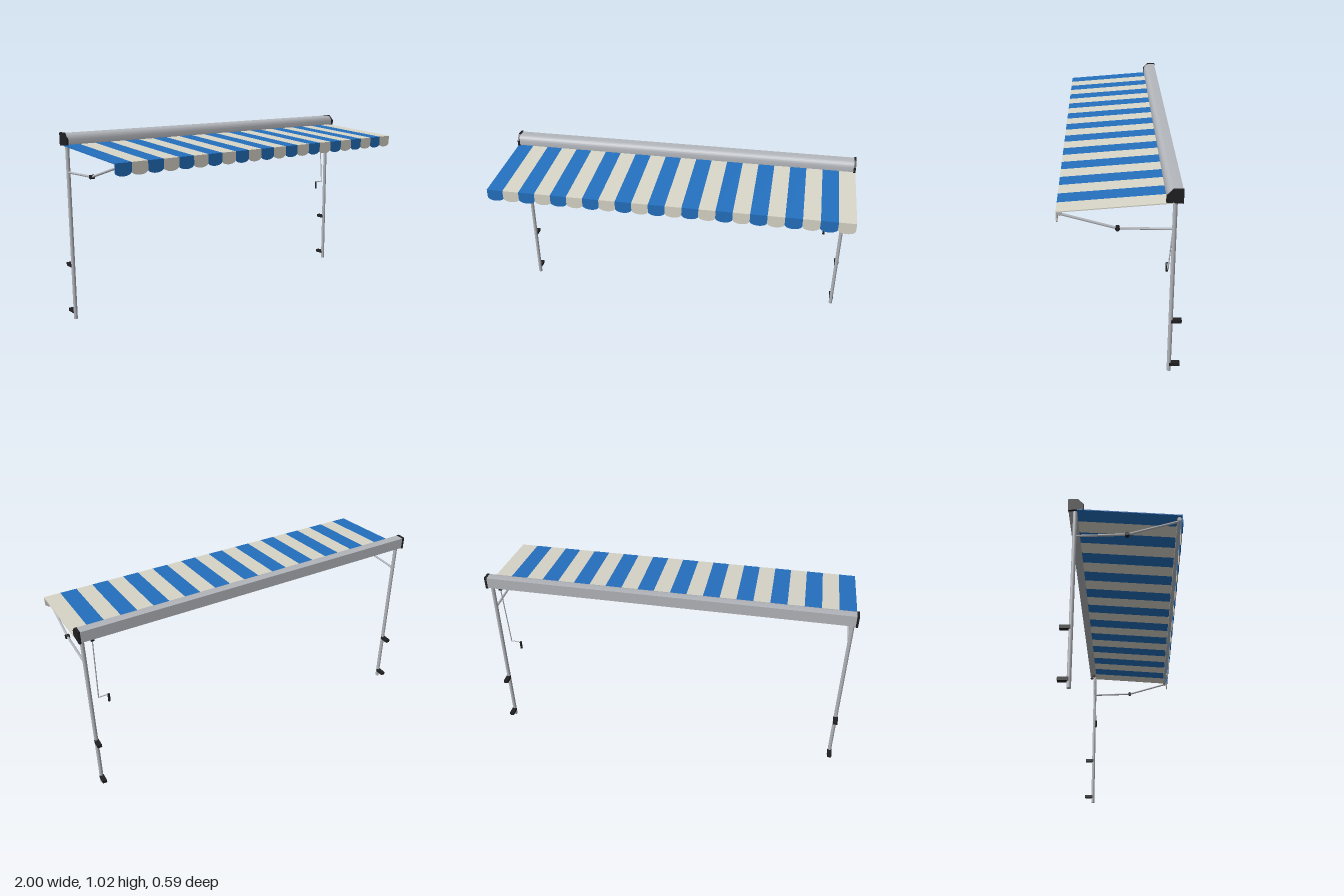
import * as THREE from 'three';
import { toCreasedNormals } from 'three/addons/utils/BufferGeometryUtils.js';

const material = (name, color) => {
  const m = new THREE.MeshStandardMaterial({ color });
  m.name = name;
  return m;
};

export function createModel() {
  const blue = material('blue fabric', 0x2470be);
  const cream = material('cream fabric', 0xd8d5c8);
  const metal = material('grey metal', 0xb2b5ba);
  const black = material('black plastic', 0x202022);
  const model = new THREE.Group();
  model.name = 'awning';

  const add = (name, geometry, mat, x = 0, y = 0, z = 0) => {
    const mesh = new THREE.Mesh(geometry, mat);
    mesh.name = name;
    mesh.position.set(x, y, z);
    model.add(mesh);
    return mesh;
  };
  const rod = (name, a, b, radius, mat, sides = 16) => {
    const from = new THREE.Vector3(...a), to = new THREE.Vector3(...b);
    const dir = to.clone().sub(from);
    const mesh = add(name, new THREE.CylinderGeometry(radius, radius, dir.length(), sides), mat);
    mesh.position.copy(from).lerp(to, 0.5);
    mesh.quaternion.setFromUnitVectors(new THREE.Vector3(0, 1, 0), dir.normalize());
    return mesh;
  };
  // Extrudes a (z, y) profile along x, centred on x = 0
  const extrudeAcross = (shape, width) => {
    const g = new THREE.ExtrudeGeometry(shape, { depth: width, bevelEnabled: false, curveSegments: 12 });
    g.translate(0, 0, -width / 2).rotateY(-Math.PI / 2);
    return toCreasedNormals(g, 0.5);
  };
  const polygon = (points) => new THREE.Shape(points.map((p) => new THREE.Vector2(...p)));

  // Cassette with a rounded upper front edge
  const body = new THREE.Shape();
  body.moveTo(-0.273, 0.957);
  body.lineTo(-0.202, 0.962);
  body.lineTo(-0.202, 0.982);
  body.quadraticCurveTo(-0.206, 1.017, -0.236, 1.018);
  body.lineTo(-0.273, 1.018);
  body.closePath();
  add('cassette', extrudeAcross(body, 1.98), metal);

  // Chamfered end caps
  const cap = polygon([[-0.275, 0.953], [-0.197, 0.959], [-0.197, 0.99], [-0.228, 1.022], [-0.275, 1.022]]);
  for (const side of [-1, 1]) add('endCap', extrudeAcross(cap, 0.012), black, side * 0.994);

  // Striped canopy and scalloped valance
  const stripes = 22, w = 2 / stripes;
  const canopy = polygon([[-0.23, 0.954], [0.293, 0.914], [0.293, 0.919], [-0.23, 0.959]]);
  const canopyGeometry = extrudeAcross(canopy, w);
  const flap = new THREE.Shape();
  flap.moveTo(w / 2, 0.917);
  flap.lineTo(-w / 2, 0.917);
  flap.lineTo(-w / 2, 0.876);
  flap.absellipse(0, 0.876, w / 2, 0.022, Math.PI, Math.PI * 2, false);
  flap.closePath();
  const flapGeometry = new THREE.ExtrudeGeometry(flap, { depth: 0.005, bevelEnabled: false, curveSegments: 12 });
  for (let i = 0; i < stripes; i++) {
    const mat = i % 2 ? cream : blue;
    const x = -1 + (i + 0.5) * w;
    add('canopyStripe', canopyGeometry, mat, x);
    add('valanceScallop', flapGeometry, mat, x, 0, 0.288);
  }

  // Front rail carrying the fabric
  rod('frontRail', [-0.988, 0.903, 0.276], [0.988, 0.903, 0.276], 0.011, metal, 20);

  // Posts, wall brackets and folding arms, mirrored
  for (const side of [-1, 1]) {
    const x = side * 0.976;
    rod('post', [x, 0, -0.24], [x, 0.957, -0.24], 0.0105, metal, 20);
    for (const y of [0.042, 0.303])
      add('wallBracket', new THREE.BoxGeometry(0.024, 0.018, 0.052), black, x, y, -0.267);
    rod('rearArm', [x, 0.813, -0.238], [x, 0.82, 0.018], 0.006, metal);
    rod('frontArm', [x, 0.82, 0.018], [x, 0.896, 0.274], 0.006, metal);
    rod('elbowJoint', [x - 0.011, 0.82, 0.018], [x + 0.011, 0.82, 0.018], 0.011, black, 20);
  }

  // Hand crank hanging from the cassette
  add('crankSocket', new THREE.BoxGeometry(0.018, 0.022, 0.016), black, 0.927, 0.948, -0.25);
  rod('crankRod', [0.927, 0.942, -0.25], [0.927, 0.565, -0.223], 0.003, metal, 10);
  rod('crankElbow', [0.929, 0.566, -0.223], [0.872, 0.566, -0.223], 0.003, metal, 10);
  rod('crankHandle', [0.872, 0.568, -0.223], [0.872, 0.521, -0.223], 0.0065, black, 14);

  return model;
}
